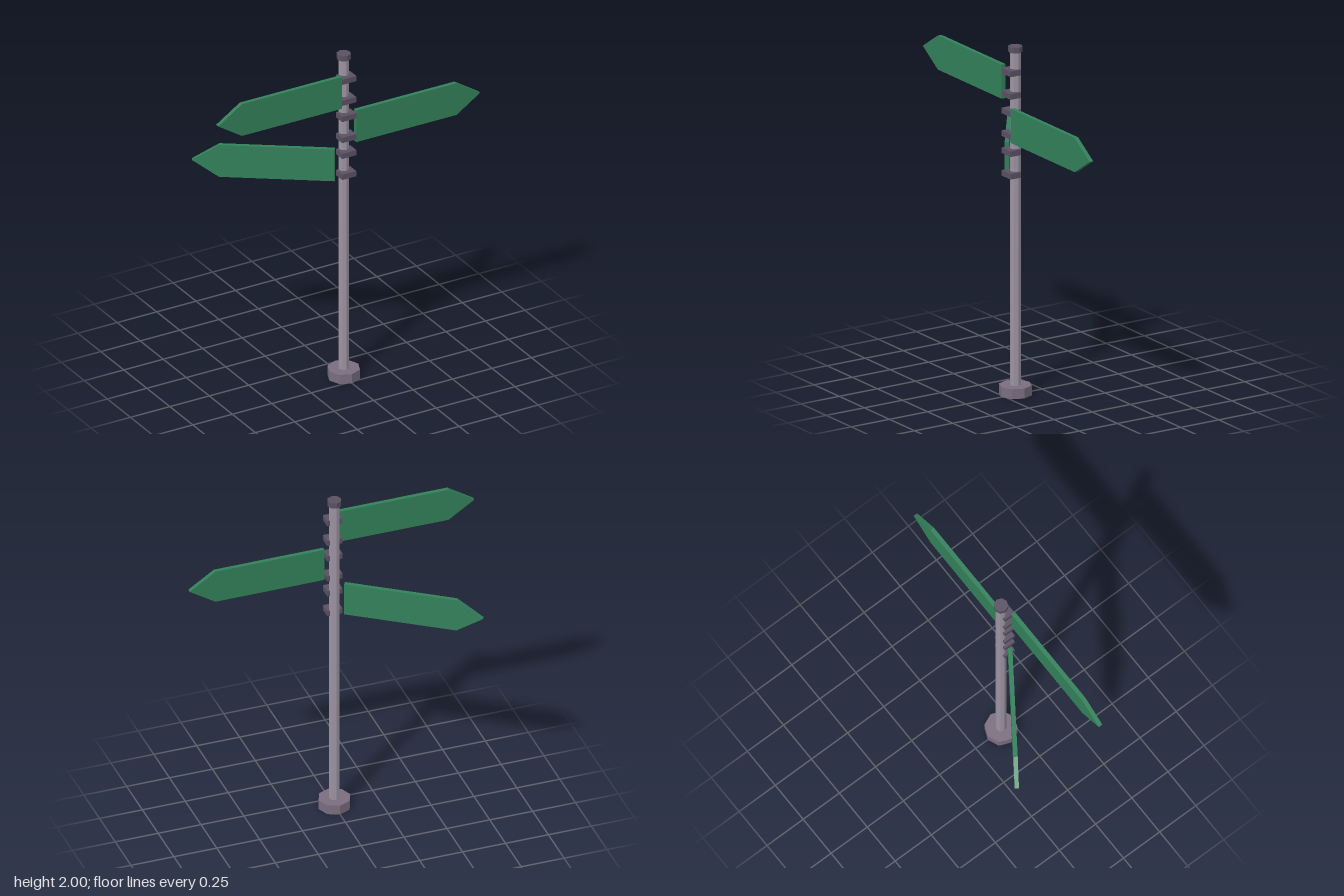
import * as THREE from 'three';

const POLE_Z = 0.175;

const material = (color) => new THREE.MeshStandardMaterial({ color, flatShading: true });

// Arrow-shaped plank pointing along +x, its thickness centred on z = 0
function boardGeometry() {
  const start = 0.045, shoulder = 0.68, tip = 0.83, half = 0.098, thick = 0.024;
  const shape = new THREE.Shape([
    new THREE.Vector2(start, -half),
    new THREE.Vector2(shoulder, -half),
    new THREE.Vector2(tip, 0),
    new THREE.Vector2(shoulder, half),
    new THREE.Vector2(start, half),
  ]);
  return new THREE.ExtrudeGeometry(shape, { depth: thick, bevelEnabled: false })
    .translate(0, 0, -thick / 2);
}

export function createModel() {
  const group = new THREE.Group();
  const post = new THREE.Group();
  post.name = 'signpost';
  post.position.z = POLE_Z;
  group.add(post);

  const poleMat = material(0x9c94a2);
  const baseMat = material(0x7a6d80);
  const darkMat = material(0x5a5163);
  const boardMat = material(0x32805a);

  const add = (name, geometry, mat, parent = post) => {
    const mesh = new THREE.Mesh(geometry, mat);
    mesh.name = name;
    parent.add(mesh);
    return mesh;
  };

  // Octagonal foot, pole and cap
  const column = (name, radius, y0, y1, mat) => {
    add(name, new THREE.CylinderGeometry(radius, radius, y1 - y0, 8), mat)
      .position.y = (y0 + y1) / 2;
  };
  column('base', 0.092, 0, 0.057, baseMat);
  column('pole', 0.031, 0.05, 1.98, poleMat);
  column('cap', 0.04, 1.968, 2, darkMat);

  // Each sign: board turned about the pole, with two clamps facing forward
  const boardGeo = boardGeometry();
  const clampGeo = new THREE.BoxGeometry(0.09, 0.032, 0.068);
  const signs = [
    { name: 'upperSign', y: 1.793, flip: true, turn: 0 },
    { name: 'middleSign', y: 1.563, flip: false, turn: 0 },
    { name: 'lowerSign', y: 1.335, flip: true, turn: -35 },
  ];
  for (const { name, y, flip, turn } of signs) {
    const sign = new THREE.Group();
    sign.name = name;
    sign.position.y = y;
    post.add(sign);

    const pivot = new THREE.Group();
    pivot.name = name + 'Pivot';
    pivot.rotation.y = THREE.MathUtils.degToRad(turn);
    sign.add(pivot);
    const board = add('board', boardGeo, boardMat, pivot);
    board.position.z = 0.048;
    if (flip) board.rotation.y = Math.PI;

    for (const dy of [-0.065, 0.065])
      add('clamp', clampGeo, darkMat, sign).position.set(0, dy, 0.026);
  }
  return group;
}
